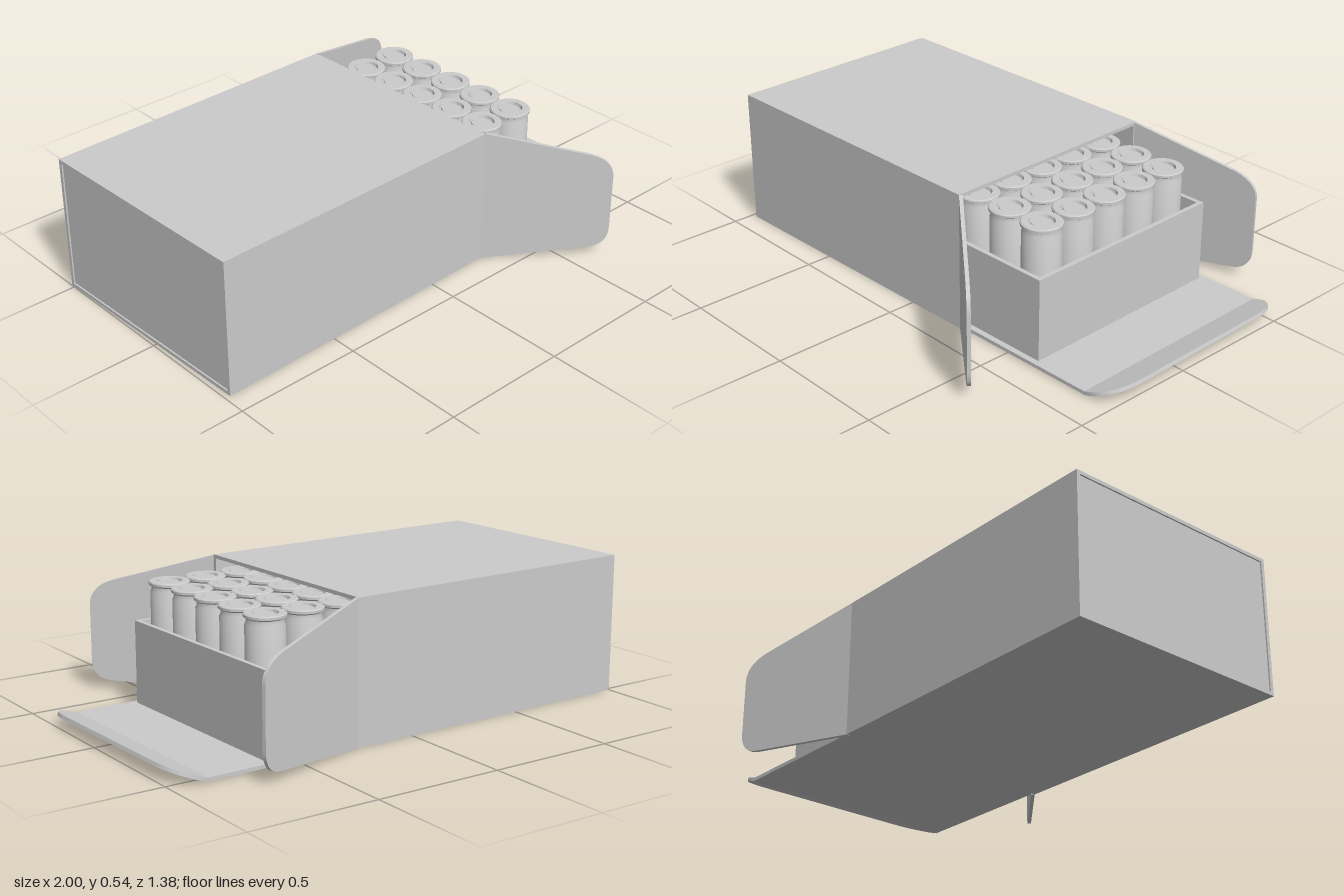
import * as THREE from 'three';
import { toCreasedNormals } from 'three/addons/utils/BufferGeometryUtils.js';

const mat = new THREE.MeshStandardMaterial({ color: 0xcccccc, roughness: 0.8 });

// Main dimensions; the open end of the sleeve is at local x = 0
const LENGTH = 1.243, WIDTH = 0.925, HEIGHT = 0.543, CARD = 0.014;
const TRAY = { front: 0.374, length: 1.15, width: 0.868, bottom: 0.016, top: 0.34, wall: 0.018 };

function add(parent, name, geometry, x = 0, y = 0, z = 0) {
  const mesh = new THREE.Mesh(geometry, mat);
  mesh.name = name;
  mesh.position.set(x, y, z);
  parent.add(mesh);
  return mesh;
}

function extrude(shape, depth) {
  const g = new THREE.ExtrudeGeometry(shape, { depth, bevelEnabled: false, curveSegments: 8 });
  return toCreasedNormals(g, 0.5);
}

function rect(Type, x0, y0, x1, y1) {
  const p = new Type();
  p.moveTo(x0, y0);
  p.lineTo(x1, y0);
  p.lineTo(x1, y1);
  p.lineTo(x0, y1);
  p.closePath();
  return p;
}

// Tapered side flap with rounded free corners
function sideFlapGeometry(len) {
  const s = new THREE.Shape();
  s.moveTo(0, 0);
  s.lineTo(len - 0.08, 0.033);
  s.quadraticCurveTo(len, 0.04, len, 0.12);
  s.lineTo(len, 0.34);
  s.quadraticCurveTo(len, 0.41, len - 0.09, 0.438);
  s.lineTo(0, HEIGHT);
  s.closePath();
  return extrude(s, CARD);
}

// Tuck lip of the bottom flap, lying flat with thickness upwards
function lipGeometry(len, width) {
  const h = width / 2, s = new THREE.Shape();
  s.moveTo(0, -h);
  s.lineTo(0.02, -h);
  s.bezierCurveTo(len * 0.7, -h, len, -h + 0.06, len, -h + 0.15);
  s.lineTo(len, h - 0.15);
  s.bezierCurveTo(len, h - 0.06, len * 0.7, h, 0.02, h);
  s.lineTo(0, h);
  s.closePath();
  return extrude(s, CARD).rotateX(-Math.PI / 2);
}

// Cartridge: straight body, groove, rim and recessed primer
function cartridgeGeometry() {
  const profile = [
    [0, 0], [0.072, 0], [0.072, 0.425], [0.067, 0.435], [0.067, 0.448],
    [0.077, 0.454], [0.077, 0.463], [0.073, 0.467], [0.048, 0.467],
    [0.044, 0.455], [0.04, 0.455], [0.037, 0.461], [0, 0.461],
  ].map(([r, y]) => new THREE.Vector2(r, y));
  return toCreasedNormals(new THREE.LatheGeometry(profile, 32), 0.5);
}

function createSleeve() {
  const g = new THREE.Group();
  g.name = 'sleeve';
  const h = WIDTH / 2;

  // Four walls as one tube, then the closed end set slightly in
  const section = rect(THREE.Shape, -h, 0, h, HEIGHT);
  section.holes.push(rect(THREE.Path, -h + CARD, CARD, h - CARD, HEIGHT - CARD));
  add(g, 'sleeveWalls', extrude(section, LENGTH).rotateY(-Math.PI / 2));
  add(g, 'closedEnd', new THREE.BoxGeometry(CARD, HEIGHT - 2 * CARD, WIDTH - 2 * CARD),
    -LENGTH + 0.006 + CARD / 2, HEIGHT / 2, 0);

  // Side flaps swung outwards by different amounts
  const near = add(g, 'leftSideFlap', sideFlapGeometry(0.49).translate(0, 0, -CARD), 0, 0, h);
  near.rotation.y = -0.695;
  const far = add(g, 'rightSideFlap', sideFlapGeometry(0.51), 0, 0, -h);
  far.rotation.y = 0.286;

  // Bottom flap with its lip bent up
  const flapLength = 0.62, flapWidth = WIDTH - 0.01;
  add(g, 'bottomFlap', new THREE.BoxGeometry(flapLength, CARD, flapWidth),
    flapLength / 2, 0.004 + CARD / 2, 0);
  const lip = add(g, 'bottomFlapLip', lipGeometry(0.134, flapWidth), flapLength, 0.004, 0);
  lip.rotation.z = 0.33;
  return g;
}

function createTray() {
  const g = new THREE.Group();
  g.name = 'tray';
  const { front, length, width, bottom, top, wall } = TRAY, h = width / 2;
  const outline = rect(THREE.Shape, front - length, -h, front, h);
  outline.holes.push(rect(THREE.Path, front - length + wall, -h + wall, front - wall, h - wall));
  add(g, 'trayWalls', extrude(outline, top - bottom).rotateX(-Math.PI / 2), 0, bottom, 0);
  add(g, 'trayFloor', new THREE.BoxGeometry(length - 2 * wall, wall, width - 2 * wall),
    front - length / 2, bottom + wall / 2, 0);
  return g;
}

function createCartridges() {
  const g = new THREE.Group();
  g.name = 'cartridges';
  const geometry = cartridgeGeometry(), pitch = 0.158;
  for (let col = 0; col < 7; col++) {
    for (let row = 0; row < 5; row++) {
      add(g, 'cartridge', geometry, 0.28 - col * pitch, 0.034, (row - 2) * pitch + 0.016);
    }
  }
  return g;
}

export function createModel() {
  const model = new THREE.Group();
  model.name = 'cartridgeBox';
  // The whole box is turned slightly about the vertical
  const box = new THREE.Group();
  box.name = 'box';
  box.position.set(0.2535, 0, -0.0775);
  box.rotation.y = 0.02;
  box.add(createSleeve(), createTray(), createCartridges());
  model.add(box);
  return model;
}
